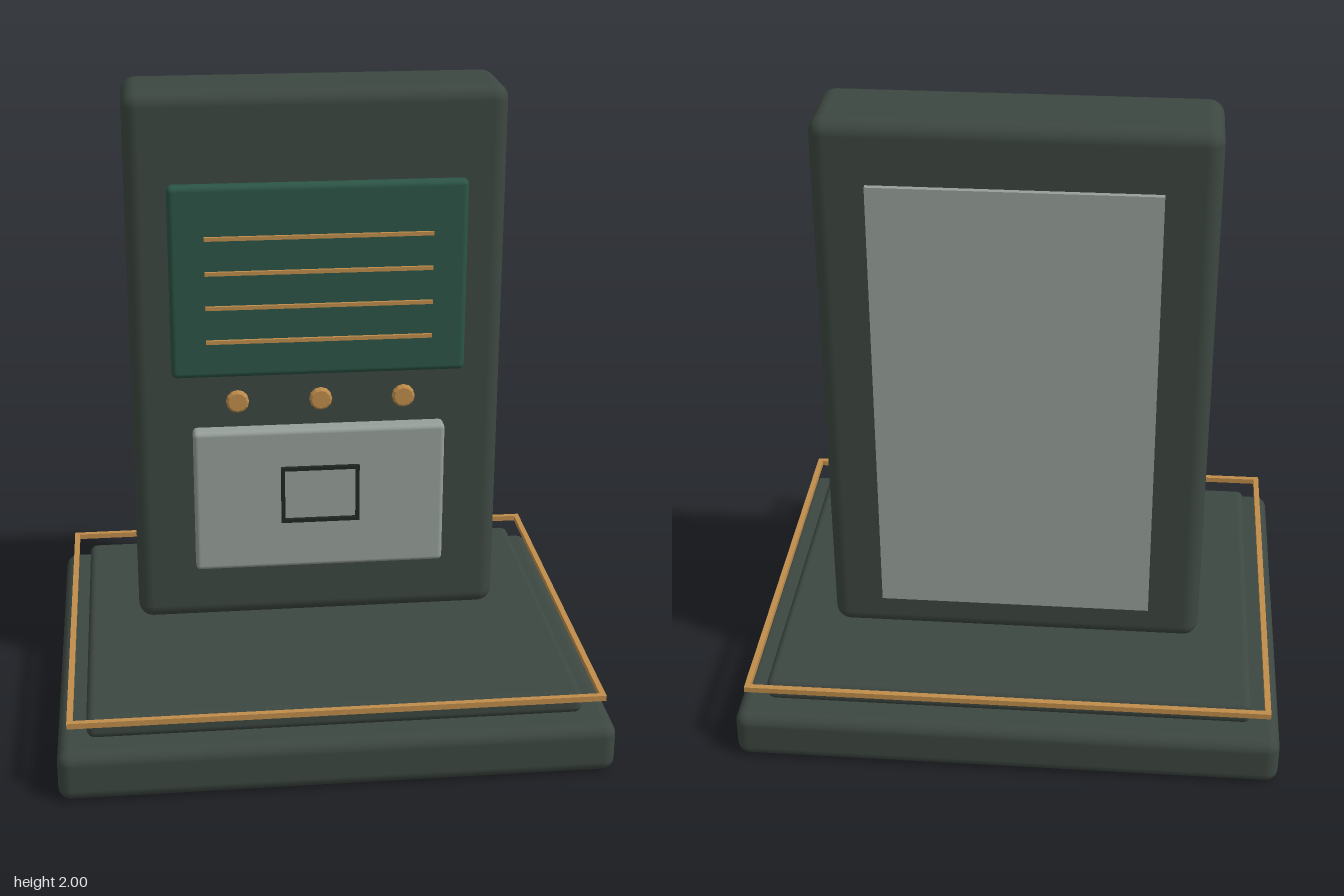
import * as THREE from 'three';
import { RoundedBoxGeometry } from 'three/addons/geometries/RoundedBoxGeometry.js';

const material = (name, color) => {
  const m = new THREE.MeshStandardMaterial({ color });
  m.name = name;
  return m;
};

export function createModel() {
  const stone = material('dark stone', 0x3d4741);
  const green = material('green panel', 0x2c5547);
  const grey = material('pale grey', 0x969f99);
  const brass = material('brass', 0xbf8d4b);
  const dark = material('near black', 0x202723);

  const model = new THREE.Group();
  model.name = 'monument';

  const add = (name, geometry, mat, x, y, z, parent = model) => {
    const mesh = new THREE.Mesh(geometry, mat);
    mesh.name = name;
    mesh.position.set(x, y, z);
    parent.add(mesh);
    return mesh;
  };
  // Rounded block given by its half width and its y and z ranges
  const block = (name, mat, hx, y0, y1, z0, z1, r) =>
    add(name, new RoundedBoxGeometry(hx * 2, y1 - y0, z1 - z0, 4, r), mat, 0, (y0 + y1) / 2, (z0 + z1) / 2);
  // Rectangular loop of square bars around the local origin
  const barLoop = (name, mat, hx, hy, t) => {
    const loop = new THREE.Group();
    loop.name = name;
    for (const s of [-1, 1]) {
      add(name + 'LongBar', new THREE.BoxGeometry(hx * 2 + t, t, t), mat, 0, s * hy, 0, loop);
      add(name + 'SideBar', new THREE.BoxGeometry(t, hy * 2 - t, t), mat, s * hx, 0, 0, loop);
    }
    model.add(loop);
    return loop;
  };

  // Stepped base and upright slab
  block('base', stone, 0.853, 0, 0.163, -0.705, 0.705, 0.04);
  block('step', stone, 0.763, 0.16, 0.235, -0.615, 0.615, 0.025);
  block('slab', stone, 0.593, 0.235, 2, -0.295, 0, 0.048);

  // Brass rail around the base
  const rail = barLoop('rail', brass, 0.81, 0.662, 0.018);
  rail.rotation.x = Math.PI / 2;
  rail.position.y = 0.245;

  // Panels on the front and back
  block('upperPanel', green, 0.465, 1.1, 1.72, 0, 0.048, 0.018);
  block('lowerPanel', grey, 0.403, 0.447, 0.927, 0.013, 0.078, 0.015);
  add('backPlate', new THREE.BoxGeometry(0.86, 1.45, 0.025), grey, 0, 1.082, -0.3);

  // Brass lines over the upper panel
  for (let i = 0; i < 4; i++) {
    add('panelLine', new THREE.BoxGeometry(0.71, 0.012, 0.01), brass, 0, 1.558 - i * 0.111, 0.062);
  }

  // Small bevelled buttons
  const profile = [[0, -0.012], [0.029, -0.012], [0.036, -0.006], [0.036, 0.006], [0.029, 0.012], [0, 0.012]]
    .map(([x, y]) => new THREE.Vector2(x, y));
  const buttonGeometry = new THREE.LatheGeometry(profile, 12).toNonIndexed();
  buttonGeometry.computeVertexNormals();
  for (const x of [-0.262, 0, 0.262]) {
    add('button', buttonGeometry, brass, x, 1.04, 0.098).rotation.x = Math.PI / 2;
  }

  // Dark frame in front of the lower panel
  barLoop('frame', dark, 0.12, 0.09, 0.012).position.set(0, 0.709, 0.09);

  return model;
}
